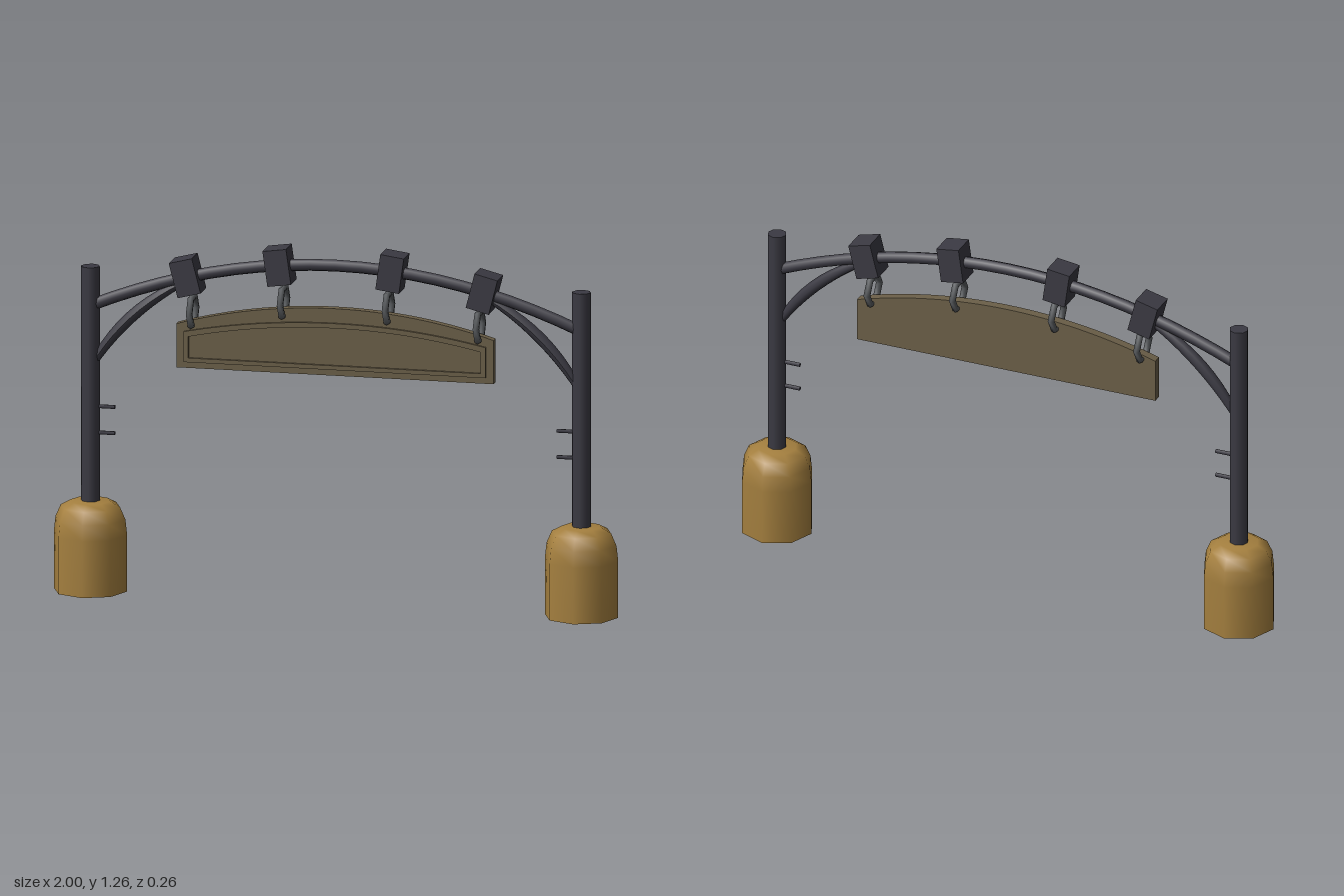
import * as THREE from 'three';

const mat = (color) => new THREE.MeshStandardMaterial({ color });
const stone = mat(0xa5803f), metal = mat(0x3b3a43), wood = mat(0x6b5f48), steel = mat(0x5a5d60);

function add(parent, name, geometry, material, x = 0, y = 0, z = 0) {
  const mesh = new THREE.Mesh(geometry, material);
  mesh.name = name;
  mesh.position.set(x, y, z);
  parent.add(mesh);
  return mesh;
}

// Outline with a flat bottom and an arched top
function archOutline(Type, halfWidth, bottom, side, top) {
  const sag = top - side;
  const radius = (halfWidth * halfWidth + sag * sag) / (2 * sag);
  const angle = Math.asin(halfWidth / radius);
  const path = new Type();
  path.moveTo(-halfWidth, bottom);
  path.lineTo(halfWidth, bottom);
  path.lineTo(halfWidth, side);
  path.absarc(0, top - radius, radius, Math.PI / 2 - angle, Math.PI / 2 + angle, false);
  path.lineTo(-halfWidth, bottom);
  return path;
}

const extrude = (shape, depth) =>
  new THREE.ExtrudeGeometry(shape, { depth, bevelEnabled: false, curveSegments: 16 });

// Curved brace, thickest in the middle
function braceGeometry(side) {
  const curve = new THREE.QuadraticBezierCurve3(
    new THREE.Vector3(side * 0.87, 0.79, 0),
    new THREE.Vector3(side * 0.75, 1.0, 0),
    new THREE.Vector3(side * 0.54, 1.11, 0));
  const steps = 10, sides = 8;
  const geometry = new THREE.TubeGeometry(curve, steps, 0.02, sides);
  const pos = geometry.attributes.position, v = new THREE.Vector3();
  for (let i = 0; i < pos.count; i++) {
    const u = Math.floor(i / (sides + 1)) / steps;
    const centre = curve.getPointAt(u);
    v.fromBufferAttribute(pos, i).sub(centre);
    v.multiplyScalar(0.65 + 0.4 * Math.sin(Math.PI * u)).add(centre);
    pos.setXYZ(i, v.x, v.y, v.z);
  }
  geometry.computeVertexNormals();
  return geometry;
}

export function createModel() {
  const model = new THREE.Group();
  model.name = 'hangingSignArch';

  // Posts, stone footings, pegs and braces on both sides
  const profile = [[0.13, 0], [0.13, 0.2], [0.124, 0.255], [0.105, 0.298], [0.07, 0.317], [0, 0.32]]
    .map(([r, y]) => new THREE.Vector2(r, y));
  for (const side of [-1, 1]) {
    const support = new THREE.Group();
    support.name = side > 0 ? 'leftSupport' : 'rightSupport';
    model.add(support);
    const x = side * 0.87;
    add(support, 'footing', new THREE.LatheGeometry(profile, 8), stone, x);
    add(support, 'footingUnderside', new THREE.CircleGeometry(0.13, 8), stone, x).rotation.x = Math.PI / 2;
    add(support, 'post', new THREE.CylinderGeometry(0.033, 0.033, 0.86, 8), metal, x, 0.72);
    for (const y of [0.56, 0.653]) {
      add(support, 'peg', new THREE.CylinderGeometry(0.007, 0.007, 0.07, 6), metal, side * 0.818, y)
        .rotation.z = Math.PI / 2;
    }
    add(support, 'brace', braceGeometry(side), metal);
  }

  // Arched beam
  const beam = new THREE.QuadraticBezierCurve3(
    new THREE.Vector3(-0.87, 1.01, 0), new THREE.Vector3(0, 1.385, 0), new THREE.Vector3(0.87, 1.01, 0));
  add(model, 'archBeam', new THREE.TubeGeometry(beam, 20, 0.021, 8), metal);

  // Clamps on the beam, each with a six-sided ring below
  const hangers = [[0.526, 1.134, 0.508, 1.01, 0.25], [0.2, 1.188, 0.186, 1.06, 0.14]];
  for (const side of [-1, 1]) {
    for (const [cx, cy, rx, ry, tilt] of hangers) {
      add(model, 'clamp', new THREE.BoxGeometry(0.084, 0.126, 0.09), metal, side * cx, cy)
        .rotation.z = -side * tilt;
      add(model, 'ring', new THREE.TorusGeometry(0.054, 0.012, 6, 6), steel, side * rx, ry)
        .rotation.y = Math.PI / 2;
    }
  }

  // Sign board with a raised border on the front
  const board = extrude(archOutline(THREE.Shape, 0.562, 0.81, 0.965, 1.048), 0.032);
  add(model, 'signBoard', board, wood, 0, 0, -0.016);
  const border = archOutline(THREE.Shape, 0.535, 0.832, 0.94, 0.997);
  border.holes.push(archOutline(THREE.Path, 0.518, 0.847, 0.923, 0.98));
  add(model, 'signBorder', extrude(border, 0.01), wood, 0, 0, 0.015);

  return model;
}
